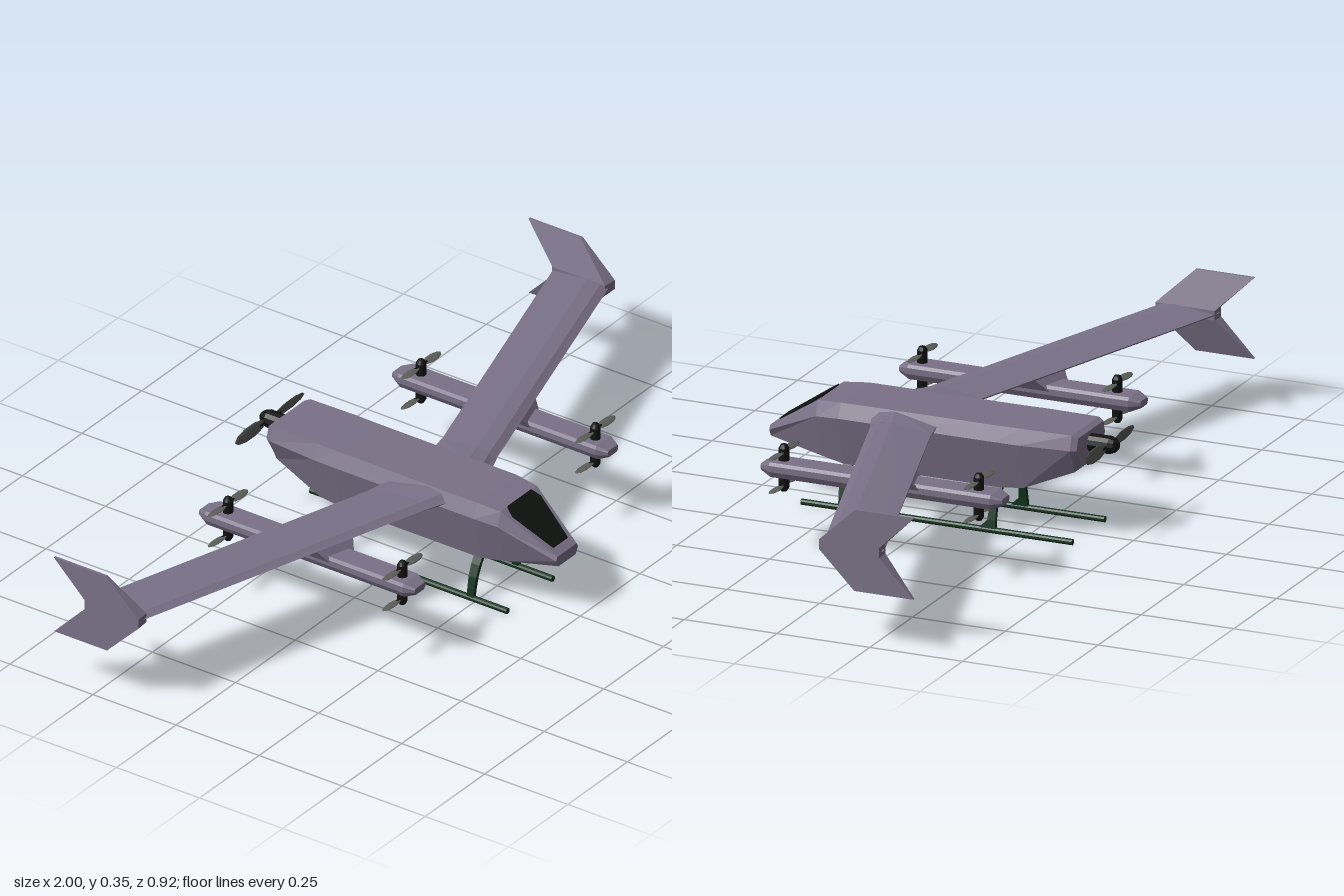
import * as THREE from 'three';

const mat = (color) => new THREE.MeshStandardMaterial({ color, flatShading: true });
const BODY = mat(0x7a7187), BLACK = mat(0x101210), GREEN = mat(0x143420), BLADE = mat(0x5c5c58);

// Closed solid through rings of [x, y, z] points, with fan caps; always wound outwards
function loft(rings) {
  const tris = [], n = rings[0].length;
  for (let r = 0; r < rings.length - 1; r++) {
    for (let i = 0; i < n; i++) {
      const j = (i + 1) % n, a = rings[r], b = rings[r + 1];
      tris.push([a[i], a[j], b[j]], [a[i], b[j], b[i]]);
    }
  }
  const first = rings[0], last = rings[rings.length - 1];
  for (let i = 1; i < n - 1; i++) {
    tris.push([first[0], first[i + 1], first[i]], [last[0], last[i], last[i + 1]]);
  }
  let volume = 0;
  const o = new THREE.Vector3(...first[0]);
  for (const t of tris) {
    const [a, b, c] = t.map((p) => new THREE.Vector3(...p).sub(o));
    volume += a.dot(b.cross(c));
  }
  if (volume < 0) tris.forEach((t) => t.reverse());
  const g = new THREE.BufferGeometry();
  g.setAttribute('position', new THREE.Float32BufferAttribute(tris.flat(2), 3));
  g.computeVertexNormals();
  return g;
}

function add(parent, name, geometry, material, x = 0, y = 0, z = 0) {
  const mesh = new THREE.Mesh(geometry, material);
  mesh.name = name;
  mesh.position.set(x, y, z);
  parent.add(mesh);
  return mesh;
}

// Two-bladed propeller in the xz plane with a capsule hub along y
function propeller(name, reach, chord, pitch) {
  const prop = new THREE.Group();
  prop.name = name;
  for (const s of [-1, 1]) {
    const blade = add(prop, 'blade', new THREE.SphereGeometry(1, 10, 6), BLADE, s * reach * 0.56, 0, 0);
    blade.scale.set(reach * 0.44, 0.003, chord);
    blade.rotation.x = s * pitch;
    const root = add(prop, 'bladeRoot', new THREE.CylinderGeometry(0.004, 0.004, reach * 0.3, 6), BLACK, s * reach * 0.15, 0, 0);
    root.rotation.z = Math.PI / 2;
  }
  return prop;
}

// Motor pod: bottom to top profile of radius, height
const pod = (points) => new THREE.LatheGeometry(points.map((p) => new THREE.Vector2(...p)), 12);

function createFuselage(model) {
  // z, bottom half width, bottom y, side half width, side y, top half width, top y
  const stations = [
    [0.46, 0.036, 0.145, 0.046, 0.163, 0.040, 0.174],
    [0.315, 0.064, 0.124, 0.090, 0.232, 0.076, 0.270],
    [0.25, 0.070, 0.113, 0.100, 0.238, 0.083, 0.275],
    [-0.17, 0.070, 0.112, 0.100, 0.238, 0.083, 0.276],
    [-0.235, 0.069, 0.119, 0.099, 0.238, 0.083, 0.277],
    [-0.37, 0.062, 0.177, 0.091, 0.240, 0.080, 0.277],
    [-0.385, 0.055, 0.19, 0.083, 0.240, 0.074, 0.270],
  ];
  const rings = stations.map(([z, wb, yb, wm, ym, wt, yt]) => [
    [-wb, yb, z], [wb, yb, z], [wm, ym, z], [wt, yt, z], [-wt, yt, z], [-wm, ym, z],
  ]);
  add(model, 'fuselage', loft(rings), BODY);

  // Windscreen panel lying on the sloped nose
  const slope = (z) => 0.174 + (0.46 - z) * 0.662;
  const outline = [[0.05, 0.316], [0.06, 0.338], [0.03, 0.44], [-0.03, 0.44], [-0.06, 0.338], [-0.05, 0.316]];
  const layer = (lift) => outline.map(([x, z]) => [x, slope(z) + lift, z]);
  add(model, 'windscreen', loft([layer(-0.006), layer(0.004)]), BLACK);
}

function createWing(model, side) {
  // Swept wing with a thicker root fairing
  const section = (x, y, half, grow) => {
    const le = 0.155 - 0.308 * (x - 0.1) + grow, te = le - 0.163 - 2 * grow, c = le - te;
    return [[0, 0], [0.12, 0.75], [0.35, 1], [1, 0.1], [1, -0.1], [0.35, -1], [0.12, -0.75]]
      .map(([u, v]) => [side * x, y + v * half, le - u * c]);
  };
  add(model, 'wing', loft([section(0.06, 0.25, 0.017, 0), section(0.985, 0.248, 0.014, 0)]), BODY);
  add(model, 'wingRootFairing', loft([section(0.07, 0.25, 0.024, 0.008), section(0.15, 0.25, 0.017, 0.001)]), BODY);

  // Winglet sweeping back above and below the tip, flat outside
  const slice = (y, inner, front, back, innerFront) => [
    [side, y, front], [side, y, back], [side * inner, y, back], [side * inner, y, innerFront],
  ];
  add(model, 'winglet', loft([
    slice(0.14, 0.993, -0.208, -0.367, -0.21),
    slice(0.235, 0.963, -0.113, -0.275, -0.116),
    slice(0.26, 0.963, -0.113, -0.275, -0.116),
    slice(0.35, 0.993, -0.21, -0.368, -0.212),
  ]), BODY);
}

function createBoom(model, side) {
  const boom = new THREE.Group();
  boom.name = 'liftBoom';
  boom.position.x = side * 0.405;
  model.add(boom);
  const rings = [
    [0.308, 0.022, 0.198, 0.216], [0.28, 0.035, 0.187, 0.226],
    [-0.315, 0.035, 0.187, 0.226], [-0.342, 0.022, 0.198, 0.216],
  ].map(([z, w, y0, y1]) => {
    const y = (k) => y0 + (y1 - y0) * k;
    return [[-w * 0.75, y0, z], [w * 0.75, y0, z], [w, y(0.4), z], [w, y(0.8), z],
      [w * 0.85, y1, z], [-w * 0.85, y1, z], [-w, y(0.8), z], [-w, y(0.4), z]];
  });
  add(boom, 'boomBeam', loft(rings), BODY);

  // Flared fairing up to the wing, skewed to follow the sweep
  const plate = (y, w, z0, z1) => [[-1, z0], [1, z0], [1, z1], [-1, z1]]
    .map(([s, z]) => [s * w, y, z - s * side * w * 0.308]);
  add(boom, 'boomFairing', loft([plate(0.21, 0.034, 0.075, -0.115), plate(0.245, 0.055, 0.05, -0.085)]), BODY);

  // Motors with an upper and a lower propeller
  for (const z of [0.255, -0.27]) {
    add(boom, 'liftMotor', pod([[0, 0.144], [0.008, 0.147], [0.013, 0.156], [0.013, 0.258], [0.008, 0.267], [0, 0.27]]), BLACK, 0, 0, z);
    for (const y of [0.25, 0.164]) {
      const prop = propeller('liftPropeller', 0.082, 0.013, 0.15);
      prop.position.set(0, y, z);
      boom.add(prop);
    }
  }
}

function createSkid(model, side) {
  const rail = add(model, 'skidRail', new THREE.CylinderGeometry(0.008, 0.008, 0.73, 10), GREEN, side * 0.095, 0.008, -0.015);
  rail.rotation.x = Math.PI / 2;
  // Bowed legs: x, y, thickness, then front and back depth
  const legs = [
    ['frontLeg', 0.24, [0.013, 0.012, 0.011, 0.01, 0.009], [0.013, 0.012, 0.011, 0.01, 0.009]],
    ['rearLeg', -0.163, [0.018, 0.013, 0.01, 0.012, 0.036], [0.016, 0.012, 0.009, 0.009, 0.01]],
  ];
  const path = [[0.055, 0.122], [0.072, 0.095], [0.085, 0.065], [0.092, 0.034], [0.095, 0.01]];
  for (const [name, z, fore, aft] of legs) {
    const rings = path.map(([x, y], i) => [
      [side * (x - 0.006), y, z + fore[i]], [side * (x + 0.006), y, z + fore[i]],
      [side * (x + 0.006), y, z - aft[i]], [side * (x - 0.006), y, z - aft[i]],
    ]);
    add(model, name, loft(rings), GREEN);
  }
}

export function createModel() {
  const model = new THREE.Group();
  model.name = 'aircraft';
  createFuselage(model);
  for (const side of [-1, 1]) {
    createWing(model, side);
    createBoom(model, side);
    createSkid(model, side);
  }

  // Tail motor and pusher propeller
  const pusher = propeller('pusherPropeller', 0.146, 0.018, 0.2);
  pusher.rotation.x = -Math.PI / 2;
  pusher.position.set(0, 0.238, -0.435);
  add(pusher, 'pusherMotor', pod([[0, -0.055], [0.023, -0.055], [0.023, 0.003], [0.018, 0.016], [0.01, 0.024], [0, 0.026]]), BLACK);
  model.add(pusher);
  return model;
}
